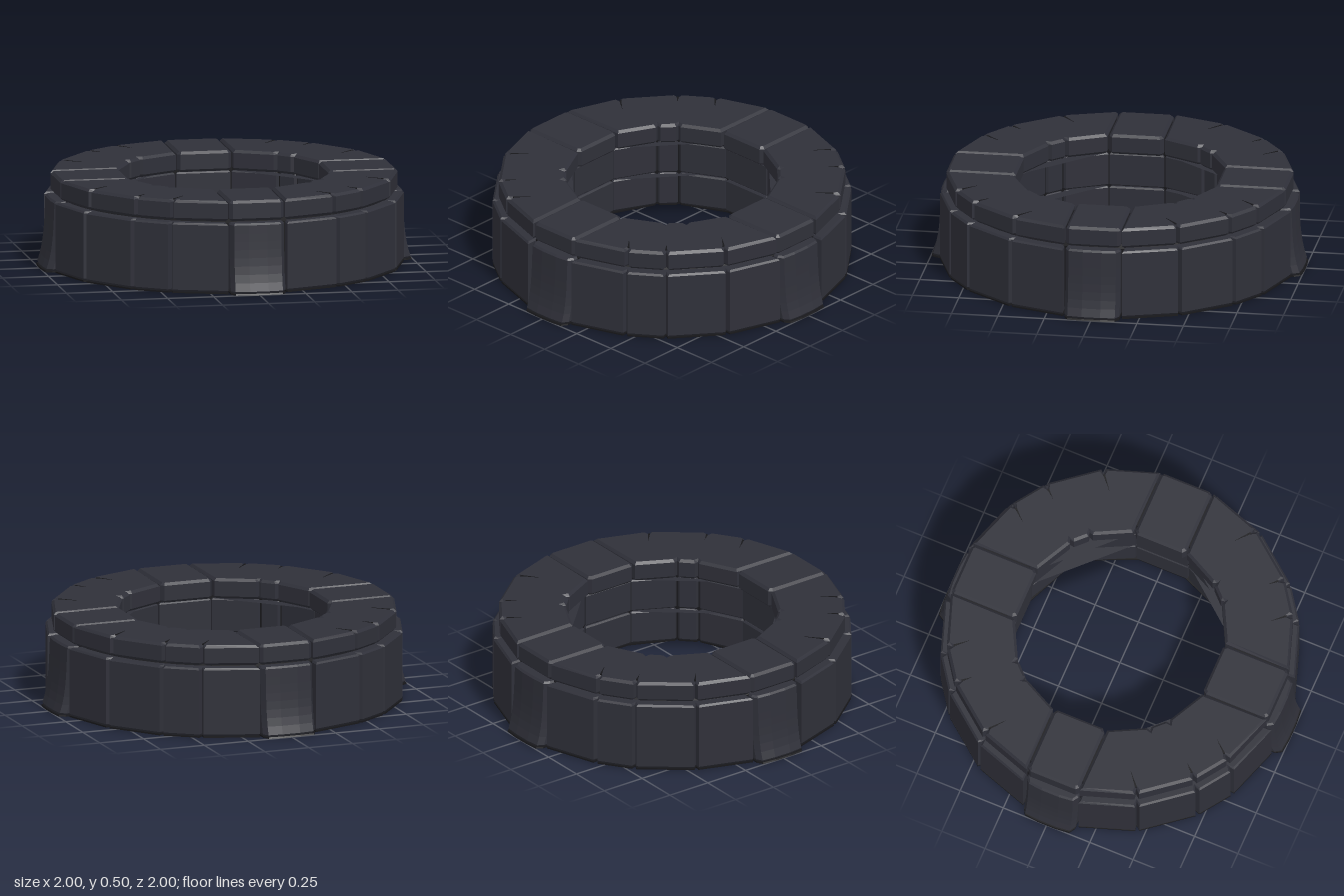
import * as THREE from 'three';

const mat = (name, color) => new THREE.MeshStandardMaterial({ name, color, flatShading: true });
const RAD = Math.PI / 180;

export function createModel() {
  const stone = mat('stone', 0x2f3039);
  const mortar = mat('mortar', 0x17171a);
  const model = new THREE.Group();
  model.name = 'stoneRing';

  const polar = (r, deg) => [r * Math.sin(deg * RAD), r * Math.cos(deg * RAD)];

  // Bevelled slab from a plan outline (x, -z), standing between y0 and y1
  function slab(name, outline, y0, y1, bevel, material, flare) {
    const shape = new THREE.Shape(outline.map(([x, y]) => new THREE.Vector2(x, y)));
    const geo = new THREE.ExtrudeGeometry(shape, {
      depth: y1 - y0 - 2 * bevel, steps: flare ? 8 : 1, bevelEnabled: bevel > 0,
      bevelSize: bevel, bevelThickness: bevel, bevelOffset: -bevel, bevelSegments: 1,
    });
    geo.translate(0, 0, y0 + bevel);
    geo.rotateX(-Math.PI / 2);
    if (flare) {
      const p = geo.attributes.position;
      for (let i = 0; i < p.count; i++) {
        const t = Math.max(0, 1 - p.getY(i) / 0.38);
        if (p.getZ(i) < -0.85) p.setZ(i, p.getZ(i) - 0.015 * t - 0.035 * t ** 4);
      }
      geo.computeVertexNormals();
    }
    const mesh = new THREE.Mesh(geo, material);
    mesh.name = name;
    return mesh;
  }

  // Edge of straight chords with a small V notch at each inner joint
  function notchedEdge(r, angles, depth) {
    const pts = [];
    angles.forEach((a, i) => {
      if (i === 0 || i === angles.length - 1) return pts.push(polar(r, a));
      const w = 0.012 / r / RAD;
      pts.push(polar(r, a - w), polar(r - depth, a), polar(r, a + w));
    });
    return pts;
  }

  const outerJoints = [9.6, 28.4, 41.5, 61.5, 80.4];
  const quadrant = (rIn, rOut, innerAngles) => [
    ...notchedEdge(rOut, outerJoints, 0.03),
    ...notchedEdge(rIn, innerAngles, -0.02).reverse(),
  ];

  // Four mirrored curved sections
  for (const sx of [1, -1]) for (const sz of [1, -1]) {
    const section = new THREE.Group();
    section.name = 'curvedSection';
    const flip = (pts) => pts.map(([x, y]) => [x * sx, y * sz]);
    section.add(
      slab('capStones', flip(quadrant(0.565, 0.925, [16, 40, 51, 74])), 0.387, 0.497, 0.014, stone),
      slab('wallStones', flip(quadrant(0.68, 0.958, [13.5, 40, 51, 76.5])), 0.008, 0.38, 0.01, stone),
      slab('base', flip(quadrant(0.6, 0.958, [9, 40, 51, 81])), 0, 0.008, 0, mortar),
    );
    // Two courses lining the inside
    for (const y of [0.008, 0.197]) {
      const lining = [...notchedEdge(0.7, [13, 77], 0),
        ...notchedEdge(0.595, [15, 40, 51, 75], -0.02).reverse()];
      section.add(slab('innerCourse', flip(lining), y, y + 0.184, 0.008, stone));
    }
    // Short cracks running in from the outer joints
    outerJoints.slice(1, -1).forEach((a, i) => {
      const r0 = 0.89, r1 = [0.8, 0.83, 0.79][i];
      const crack = [polar(r0, a - 0.35), polar(r0, a + 0.35), polar(r1, a + (i - 1) * 1.5)];
      section.add(slab('crack', flip(crack), 0.494, 0.499, 0, mortar));
    });
    model.add(section);
  }

  // Four straight blocks with buttressed feet
  const half = (pts) => [...pts, ...pts.slice().reverse().map(([x, y]) => [-x, y])];
  for (let i = 0; i < 4; i++) {
    const block = new THREE.Group();
    block.name = 'buttressBlock';
    const foot = [[0.148, 0.67], [0.148, 0.912], [0.128, 0.944], [0.05, 0.952]];
    block.add(
      slab('capStone', half([[0.13, 0.54], [0.147, 0.56], [0.147, 0.9], [0.13, 0.915]]), 0.387, 0.497, 0.014, stone),
      slab('wallStone', half(foot), 0.008, 0.38, 0.01, stone, true),
      slab('base', half([[0.148, 0.575], ...foot.slice(1)]), 0, 0.008, 0, mortar, true),
    );
    for (const y of [0.008, 0.197])
      block.add(slab('innerCourse', half([[0.147, 0.573], [0.147, 0.7]]), y, y + 0.184, 0.008, stone));
    block.rotation.y = i * Math.PI / 2;
    model.add(block);
  }

  // Dark core seen through the joints
  const core = [[0.61, 0.002], [0.9, 0.002], [0.9, 0.375], [0.87, 0.392], [0.87, 0.475],
    [0.61, 0.475], [0.61, 0.002]].map(([r, y]) => new THREE.Vector2(r, y));
  const coreMesh = new THREE.Mesh(new THREE.LatheGeometry(core, 48), mortar);
  coreMesh.name = 'mortarCore';
  model.add(coreMesh);
  return model;
}
